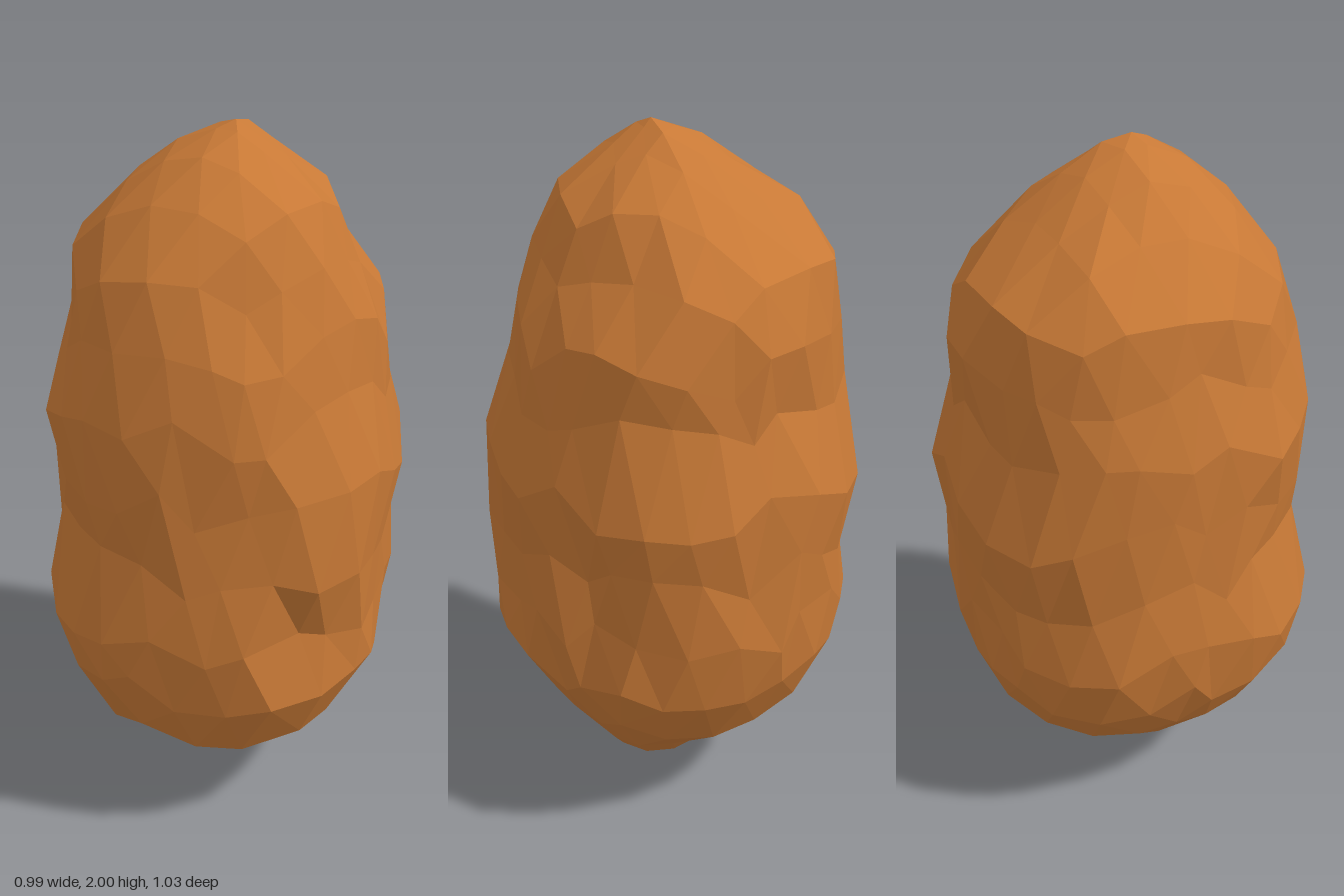
import * as THREE from 'three';

// Outline on each side: [height, distance from the axis]
const left = [[0, 0], [0.05, 0.13], [0.2, 0.27], [0.4, 0.41], [0.55, 0.48], [0.64, 0.49], [0.78, 0.44], [0.9, 0.48], [1.05, 0.5], [1.2, 0.47], [1.33, 0.43], [1.48, 0.44], [1.65, 0.35], [1.82, 0.28], [2, 0]];
const right = [[0, 0], [0.09, 0.15], [0.28, 0.35], [0.46, 0.46], [0.64, 0.51], [0.9, 0.47], [1.1, 0.46], [1.25, 0.49], [1.45, 0.43], [1.69, 0.4], [1.78, 0.32], [1.94, 0.14], [2, 0]];
const front = [[0, 0], [0.1, 0.13], [0.2, 0.24], [0.27, 0.42], [0.52, 0.52], [0.8, 0.53], [0.95, 0.47], [1.1, 0.5], [1.25, 0.5], [1.42, 0.48], [1.6, 0.42], [1.73, 0.38], [1.84, 0.27], [1.96, 0.12], [2, 0]];
const back = [[0, 0], [0.05, 0.11], [0.17, 0.2], [0.25, 0.32], [0.38, 0.43], [0.62, 0.51], [0.83, 0.48], [1.0, 0.52], [1.1, 0.52], [1.25, 0.46], [1.4, 0.44], [1.53, 0.47], [1.69, 0.41], [1.82, 0.26], [1.98, 0.09], [2, 0]];

// Lumps and dents: x, y, z, push outwards, push upwards, size
const lumps = [
  // front left: overhang with a hollow below and a flat slope above
  [0.34, 0.98, 0.4, 0.04, -0.07, 0.17],
  [0.32, 0.72, 0.4, -0.06, 0, 0.11],
  [0.18, 1.15, 0.48, -0.03, 0, 0.11],
  [0.32, 1.45, 0.33, -0.05, 0, 0.17],
  [0.14, 1.64, 0.36, -0.04, 0, 0.12],
  // left side: bulge with hollows around it
  [0.47, 0.72, 0.14, -0.04, 0, 0.1],
  [0.46, 0.9, -0.2, -0.035, 0, 0.13],
  [0.3, 1.72, -0.18, -0.05, 0, 0.13],
  // back right: shoulder, then a valley, then an overhang with a hollow below
  [-0.26, 1.74, -0.27, 0.02, 0.03, 0.13],
  [-0.08, 1.86, -0.15, -0.01, -0.03, 0.1],
  [-0.25, 1.38, -0.4, -0.025, 0, 0.14],
  [-0.34, 0.97, -0.36, 0.02, -0.05, 0.17],
  [-0.36, 0.75, -0.36, -0.05, 0, 0.14],
  // front right: dents
  [-0.4, 0.86, 0.33, -0.035, 0, 0.14],
  [-0.4, 1.5, 0.15, -0.025, 0, 0.13],
];

function sample(profile, y) {
  for (let i = 1; i < profile.length; i++) {
    const [y0, r0] = profile[i - 1], [y1, r1] = profile[i];
    if (y <= y1) return r0 + (r1 - r0) * (y - y0) / (y1 - y0);
  }
  return 0;
}

// Maps a direction on the unit sphere to a point of the lumpy body
function shapePoint(d) {
  const h = Math.hypot(d.x, d.z);
  const y = THREE.MathUtils.clamp(1 + d.y, 0, 2);
  const cap = Math.pow(d.y, 8);
  const p = new THREE.Vector3(0.03 * cap, y, 0.04 * cap);
  if (h < 1e-4) return p;
  const c = d.x / h, s = d.z / h;
  const a = sample(c > 0 ? left : right, y), b = sample(s > 0 ? front : back, y);
  // Rounded-square cross-section
  const n = 2.35;
  let r = Math.pow(Math.pow(Math.abs(c) / a, n) + Math.pow(Math.abs(s) / b, n), -1 / n);
  r *= 0.995 + 0.01 * Math.sin(8 * d.x + 5 * d.y + 1) * Math.sin(7 * d.z - 6 * d.y);
  p.x += c * r;
  p.z += s * r;
  const start = p.clone();
  for (const [x, ly, z, out, up, size] of lumps) {
    const w = Math.exp(-((start.x - x) ** 2 + (start.y - ly) ** 2 + (start.z - z) ** 2) / (size * size));
    p.x += c * out * w;
    p.z += s * out * w;
    p.y += up * w;
  }
  return p;
}

export function createModel() {
  // Sphere of triangles with a corner at the top and the bottom
  const geometry = new THREE.IcosahedronGeometry(1, 4);
  geometry.rotateZ(-Math.atan(2 / (1 + Math.sqrt(5))));
  const pos = geometry.attributes.position;
  const d = new THREE.Vector3();
  for (let i = 0; i < pos.count; i++) {
    d.fromBufferAttribute(pos, i);
    // Slide the corners unevenly, except at the poles
    const k = 0.05 * (1 - d.y * d.y);
    const u = Math.sin(19 * d.x + 13 * d.z + 7 * d.y), v = Math.sin(17 * d.z - 15 * d.x + 11 * d.y);
    d.set(d.x - d.z * k * u, d.y + k * v, d.z + d.x * k * u).normalize();
    pos.setXYZ(i, ...shapePoint(d));
  }
  geometry.computeVertexNormals();

  const body = new THREE.Mesh(geometry, new THREE.MeshStandardMaterial({ color: 0xc87936, flatShading: true }));
  body.name = 'lumpyBody';
  const group = new THREE.Group();
  group.name = 'lumpyNugget';
  group.add(body);
  return group;
}
